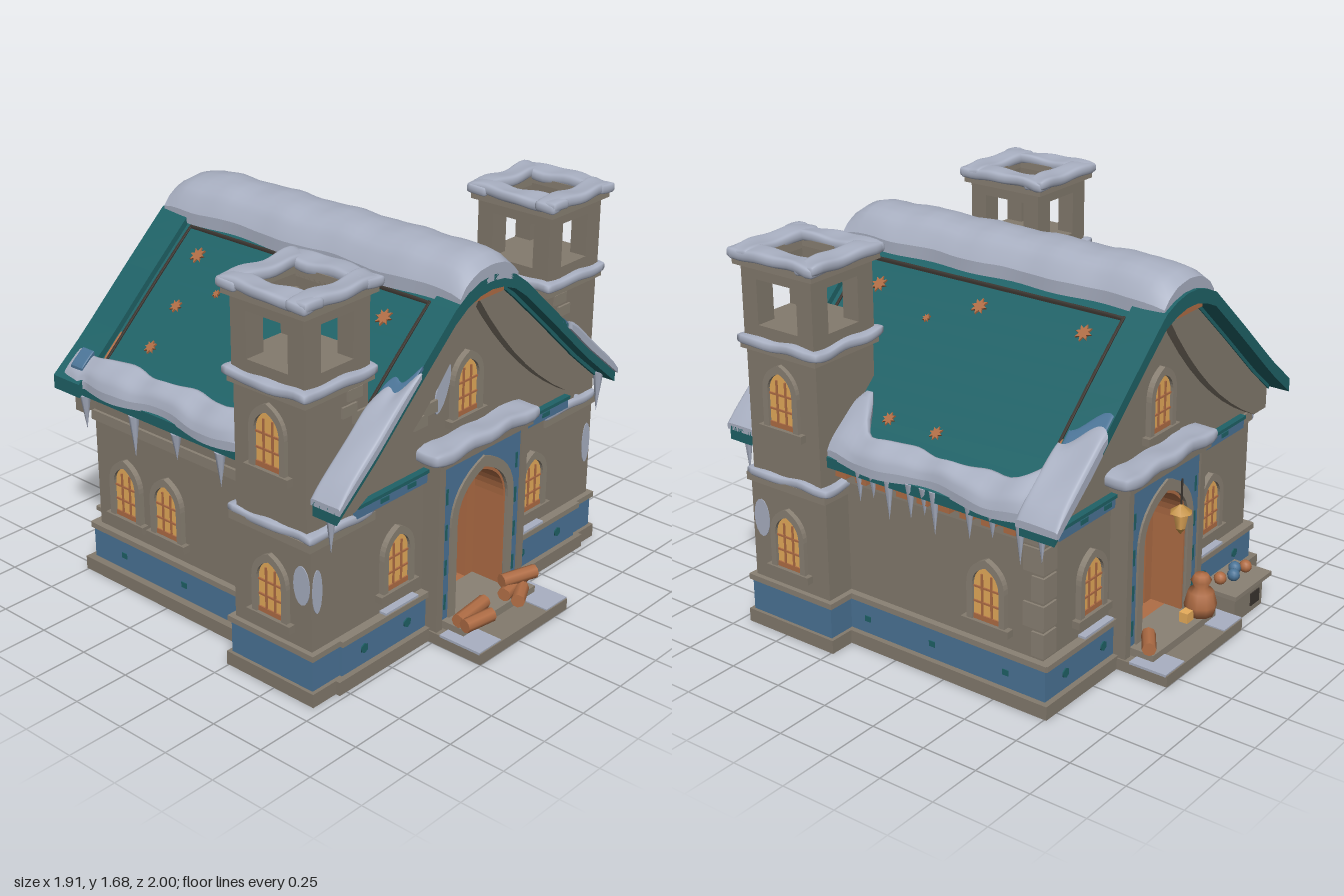
import * as THREE from 'three';
import { mergeVertices } from 'three/addons/utils/BufferGeometryUtils.js';

const mat = (name, color) => Object.assign(new THREE.MeshStandardMaterial({ color }), { name });
const M = {
  stone: mat('stone', 0x837a6d), trim: mat('pale stone', 0x8a8174), snow: mat('snow', 0xa9b0c2),
  teal: mat('teal roof', 0x1f6267), blue: mat('blue paint', 0x4b7497), wood: mat('orange wood', 0xb06d45),
  glow: mat('window glow', 0xeaae5c), ink: mat('dark lines', 0x3a342f), gold: mat('lantern gold', 0xc79549),
};

function add(parent, name, geo, material, x = 0, y = 0, z = 0) {
  const m = new THREE.Mesh(geo, material);
  m.name = name;
  m.position.set(x, y, z);
  parent.add(m);
  return m;
}
// box from its limits
function box(p, name, material, x0, x1, y0, y1, z0, z1) {
  return add(p, name, new THREE.BoxGeometry(x1 - x0, y1 - y0, z1 - z0), material, (x0 + x1) / 2, (y0 + y1) / 2, (z0 + z1) / 2);
}
const extrude = (shape, depth) => new THREE.ExtrudeGeometry(shape, { depth, bevelEnabled: false, curveSegments: 8 });
const smooth = geo => {
  geo.deleteAttribute('normal');
  geo.deleteAttribute('uv');
  const g = mergeVertices(geo);
  g.computeVertexNormals();
  return g;
};

// soft, uneven snow block with rounded edges
function snowSlab(p, name, x0, x1, y0, y1, z0, z1) {
  const w = x1 - x0, h = y1 - y0, d = z1 - z0, r = h * 0.4;
  const g = new THREE.BoxGeometry(w, h, d, 14, 4, 14), a = g.attributes.position;
  const v = new THREE.Vector3(), core = new THREE.Vector3(), lim = new THREE.Vector3(w / 2 - r, h / 2 - r, d / 2 - r);
  for (let i = 0; i < a.count; i++) {
    v.fromBufferAttribute(a, i);
    core.copy(v).clamp(lim.clone().negate(), lim);
    v.sub(core).setLength(r).add(core);
    const k = Math.sin(v.x * 27 + v.z * 15 + x0 * 9) + 0.6 * Math.sin(v.z * 33 - v.x * 12);
    a.setXYZ(i, v.x + 0.005 * Math.sin(v.z * 24 + x0 * 7), v.y + 0.005 * k, v.z + 0.005 * Math.sin(v.x * 22 + 1));
  }
  return add(p, name, smooth(g), M.snow, (x0 + x1) / 2, (y0 + y1) / 2, (z0 + z1) / 2);
}

// pointed arch outline, standing on y0
function arch(w, h, spring, T = THREE.Shape, y0 = 0) {
  const s = new T(), r = w / 2;
  s.moveTo(-r, y0);
  s.lineTo(r, y0);
  s.lineTo(r, spring);
  s.quadraticCurveTo(r, spring + (h - spring) * 0.72, 0, h);
  s.quadraticCurveTo(-r, spring + (h - spring) * 0.72, -r, spring);
  s.lineTo(-r, y0);
  return s;
}
function archRing(wo, ho, wi, hi, spring, y0 = 0) {
  const s = arch(wo, ho, spring, THREE.Shape, y0);
  s.holes.push(arch(wi, hi, spring, THREE.Path, y0 + 0.0001));
  return s;
}

// arched window, back against a wall, facing +z before turning
function windowAt(p, x, y, z, turn = 0) {
  const g = new THREE.Group();
  g.name = 'window';
  add(g, 'windowFrame', extrude(archRing(0.185, 0.275, 0.13, 0.24, 0.15), 0.026), M.trim);
  add(g, 'windowPane', extrude(arch(0.132, 0.242, 0.15), 0.008), M.glow, 0, 0, 0.004);
  box(g, 'windowFoot', M.wood, -0.064, 0.064, 0, 0.024, 0.01, 0.018);
  for (const dx of [-0.023, 0.023]) box(g, 'mullion', M.wood, dx - 0.004, dx + 0.004, 0, 0.205, 0.01, 0.018);
  for (const dy of [0.08, 0.145]) box(g, 'glazingBar', M.wood, -0.063, 0.063, dy - 0.004, dy + 0.004, 0.01, 0.018);
  box(g, 'windowSill', M.stone, -0.115, 0.115, -0.03, 0.002, 0, 0.035);
  g.position.set(x, y, z);
  g.rotation.y = turn;
  p.add(g);
}

// height of the roof rim over x
const PROFILE = [[0, 1.54], [0.08, 1.53], [0.18, 1.49], [0.42, 1.275], [0.67, 1.045], [0.92, 0.84]];
function roofY(x) {
  const a = Math.min(Math.abs(x), 0.95);
  let i = 1;
  while (i < PROFILE.length - 1 && a > PROFILE[i][0]) i++;
  const [x0, y0] = PROFILE[i - 1], [x1, y1] = PROFILE[i];
  return y0 + (y1 - y0) * (a - x0) / (x1 - x0);
}
// roof slab from x0 to x1: top at rim height + off, thickness t
function roofSlab(x0, x1, off, t, depth) {
  const s = new THREE.Shape(), n = 24, xs = [];
  for (let i = 0; i <= n; i++) xs.push(x0 + (x1 - x0) * i / n);
  xs.forEach((x, i) => (i ? s.lineTo(x, roofY(x) + off) : s.moveTo(x, roofY(x) + off)));
  xs.reverse().forEach(x => s.lineTo(x, roofY(x) + off - t));
  return extrude(s, depth);
}
// sheet lying on the roof between two x limits that may vary with z
function sheet(p, name, material, xa, xb, z0, z1, thick, off, wave) {
  const g = new THREE.BoxGeometry(1, 1, 1, 12, 1, 36), a = g.attributes.position;
  for (let i = 0; i < a.count; i++) {
    const u = a.getX(i) + 0.5, w = a.getZ(i) + 0.5, top = a.getY(i) > 0;
    const z = z0 + (z1 - z0) * w, x = xa(z) + (xb(z) - xa(z)) * u;
    const round = Math.sqrt(1 - Math.pow(Math.abs(2 * u - 1), 4) * 0.85) * Math.sqrt(1 - Math.pow(Math.abs(2 * w - 1), 14) * 0.7);
    const bump = 1 + wave * (Math.sin(z * 19 + x * 9) + 0.6 * Math.sin(z * 37 - x * 16));
    a.setXYZ(i, x, roofY(x) + off + (top ? thick * round * bump : -0.015), z);
  }
  g.computeVertexNormals();
  return add(p, name, g, material);
}

// gable end with doorway, built facing +z
function endWall(root, s) {
  const g = new THREE.Group(), door = new THREE.Group();
  g.name = s > 0 ? 'frontEnd' : 'backEnd';
  g.position.set(0.02, 0, s > 0 ? 0 : -0.03);
  g.rotation.y = s > 0 ? 0 : Math.PI;
  root.add(g);
  door.name = 'doorway';
  door.position.x = 0.022 * s;
  g.add(door);
  const wall = new THREE.Shape();
  wall.moveTo(-0.75, 0.03);
  wall.lineTo(0.75, 0.03);
  for (let i = 0; i <= 20; i++) { const x = 0.75 - i * 0.075; wall.lineTo(x, roofY(x) - 0.07); }
  wall.holes.push(arch(0.39, 0.72, 0.5, THREE.Path, 0.08));
  add(g, 'gableWall', extrude(wall, 0.08), M.stone, 0, 0, 0.6);
  // curved stone verge under the roof edge
  const verge = new THREE.Shape();
  verge.moveTo(-0.82, 0.77);
  for (let i = 0; i <= 20; i++) { const x = -0.82 + i * 0.082; verge.lineTo(x, roofY(x) - 0.05); }
  verge.lineTo(0.82, 0.77);
  verge.lineTo(0.72, 0.77);
  verge.quadraticCurveTo(0.3, 0.98, 0, 1.42);
  verge.quadraticCurveTo(-0.3, 0.98, -0.72, 0.77);
  add(g, 'gableVerge', extrude(verge, 0.05), M.stone, 0, 0, 0.675);
  windowAt(g, -0.02 * s, 0.93, 0.68);
  for (const m of [-1, 1]) {
    windowAt(g, m * 0.44 + 0.008 * s, 0.315, 0.68);
    const span = (name, material, a, b, y0, y1, z1) => box(g, name, material, Math.min(m * a, m * b), Math.max(m * a, m * b), y0, y1, 0.64, z1);
    span('blueSkirt', M.blue, 0.24, 0.77, 0.05, 0.205, 0.705);
    span('skirtLedge', M.trim, 0.24, 0.78, 0.2, 0.225, 0.72);
    span('skirtSnow', M.snow, 0.32, 0.52, 0.222, 0.235, 0.715);
    span('friezeBand', M.blue, 0.24, 0.68, 0.715, 0.765, 0.7);
    span('friezeCap', M.teal, 0.24, 0.68, 0.76, 0.775, 0.71);
    for (const dx of [0.38, 0.64]) add(g, 'skirtDiamond', new THREE.CylinderGeometry(0.022, 0.022, 0.008, 6), M.teal, m * dx, 0.13, 0.706).rotation.x = Math.PI / 2;
    for (const dx of [0.36, 0.52]) box(g, 'friezeDash', M.teal, m * dx - 0.025, m * dx + 0.025, 0.73, 0.75, 0.698, 0.704);
  }
  // portal
  const portal = new THREE.Shape([[-0.28, 0.05], [0.28, 0.05], [0.28, 0.8], [-0.28, 0.8]].map(c => new THREE.Vector2(...c)));
  portal.holes.push(arch(0.33, 0.7, 0.5, THREE.Path, 0.08));
  add(door, 'portal', extrude(portal, 0.08), [M.blue, M.stone], 0, 0, 0.675);
  add(door, 'doorHood', extrude(archRing(0.41, 0.75, 0.33, 0.7, 0.5, 0.08), 0.015), M.trim, 0, 0, 0.75);
  add(door, 'doorReveal', extrude(archRing(0.335, 0.705, 0.31, 0.685, 0.5, 0.08), 0.16), M.wood, 0, 0, 0.59);
  add(door, 'doorLining', extrude(archRing(0.34, 0.71, 0.21, 0.63, 0.48, 0.08), 0.6), M.wood);
  for (const m of [-1, 1]) {
    box(door, 'portalEdge', M.stone, m * 0.267 - 0.018, m * 0.267 + 0.018, 0.05, 0.8, 0.67, 0.765);
    for (let i = 0; i < 4; i++) box(door, 'portalDash', M.teal, m * 0.226 - 0.006, m * 0.226 + 0.006, 0.13 + i * 0.16, 0.2 + i * 0.16, 0.752, 0.758);
    box(door, 'stepSnow', M.snow, m * 0.225 - 0.07, m * 0.225 + 0.07, 0.045, 0.056, 0.79, s > 0 ? 0.995 : 0.965);
  }
  box(door, 'lintel', M.stone, -0.3, 0.3, 0.79, 0.82, 0.66, 0.78);
  snowSlab(door, 'lintelSnow', -0.335, 0.335, 0.81, 0.87, 0.64, 0.795);
  // steps
  box(door, 'lowerStep', M.stone, -0.293, 0.293, 0, 0.05, 0.6, s > 0 ? 1 : 0.97);
  box(door, 'upperStep', M.trim, -0.24, 0.24, 0.04, 0.085, 0.6, 0.87);
}

function tower(root, cx) {
  const g = new THREE.Group(), out = Math.sign(cx);
  g.name = 'tower';
  g.position.set(cx, 0, 0.475);
  root.add(g);
  const tier = (name, material, hx, y0, y1, hz) => box(g, name, material, -hx, hx, y0, y1, -hz, hz);
  tier('towerFoot', M.stone, 0.195, 0, 0.06, 0.235);
  tier('towerSkirt', M.blue, 0.18, 0.05, 0.205, 0.218);
  tier('towerSkirtLedge', M.trim, 0.19, 0.2, 0.225, 0.23);
  tier('towerLower', M.stone, 0.168, 0.2, 0.7, 0.205);
  tier('towerLedge', M.trim, 0.185, 0.665, 0.7, 0.215);
  snowSlab(g, 'towerLedgeSnow', -0.19, 0.19, 0.69, 0.73, -0.222, 0.222);
  tier('towerUpper', M.stone, 0.17, 0.7, 1.28, 0.185);
  tier('belfryLedge', M.trim, 0.19, 1.25, 1.285, 0.2);
  snowSlab(g, 'belfryLedgeSnow', -0.212, 0.207, 1.27, 1.315, -0.217, 0.217);
  tier('belfryFloor', M.stone, 0.178, 1.29, 1.36, 0.185);
  for (const a of [-1, 1]) for (const b of [-1, 1]) box(g, 'belfryPost', M.stone, a * 0.133 - 0.045, a * 0.133 + 0.045, 1.35, 1.56, b * 0.145 - 0.04, b * 0.145 + 0.04);
  // open square rings on top, stone below and snow above
  const ring = (name, material, o, oz, y, h) => {
    const s = new THREE.Shape([[-o, -oz], [o, -oz], [o, oz], [-o, oz]].map(c => new THREE.Vector2(...c)));
    s.holes.push(new THREE.Path([[-0.11, -0.125], [-0.11, 0.125], [0.11, 0.125], [0.11, -0.125]].map(c => new THREE.Vector2(...c))));
    add(g, name, extrude(s, h), material, 0, y, 0).rotation.x = -Math.PI / 2;
  };
  ring('belfryBeam', M.stone, 0.178, 0.185, 1.55, 0.06);
  ring('belfryCap', M.trim, 0.2, 0.21, 1.6, 0.04);
  for (const m of [-1, 1]) {
    snowSlab(g, 'belfrySnow', m * 0.162 - 0.054, m * 0.162 + 0.054, 1.625, 1.672, -0.228, 0.228);
    snowSlab(g, 'belfrySnow', -0.215, 0.215, 1.625, 1.672, m * 0.175 - 0.054, m * 0.175 + 0.054);
  }
  windowAt(g, out * 0.164, 0.31, 0, out * Math.PI / 2);
  windowAt(g, out * 0.164, 0.94, 0, out * Math.PI / 2);
  // scattered bricks and wall frost
  for (const [x, y] of [[0.09, 1.2], [0.06, 1.14], [0.12, 1.1]]) box(g, 'brick', M.trim, -out * x - 0.04, -out * x + 0.04, y, y + 0.045, 0.15, 0.195);
  const disc = new THREE.CylinderGeometry(0.05, 0.05, 0.008, 16);
  const frost = add(g, 'frostFront', disc, M.snow, out * 0.138, 0.48, 0.204);
  frost.rotation.x = Math.PI / 2;
  frost.scale.set(0.55, 1, 1.9);
  const frostSide = add(g, 'frostSide', disc, M.snow, out * 0.167, 0.5, 0.155);
  frostSide.rotation.z = Math.PI / 2;
  frostSide.scale.set(1.7, 1, 0.85);
}

export function createModel() {
  const root = new THREE.Group();
  root.name = 'snowyHall';
  box(root, 'foundation', M.stone, -0.79, 0.82, 0, 0.06, -0.76, 0.73);
  box(root, 'floor', M.wood, -0.72, 0.74, 0.05, 0.085, -0.7, 0.66);
  endWall(root, 1);
  endWall(root, -1);
  tower(root, -0.725);
  tower(root, 0.74);

  // long side walls with skirt, eaves beam, icicles and eave snow
  for (const s of [-1, 1]) {
    const side = (name, material, a, b, y0, y1, z0, z1) => box(root, name, material, 0.02 + Math.min(s * a, s * b), 0.02 + Math.max(s * a, s * b), y0, y1, z0, z1);
    side('sideWall', M.stone, 0.67, 0.755, 0.05, 0.88, -0.71, 0.66);
    side('sideSkirt', M.blue, 0.7, 0.775, 0.05, 0.205, -0.735, 0.3);
    side('sideLedge', M.trim, 0.7, 0.785, 0.2, 0.225, -0.745, 0.3);
    side('eavesBeam', M.trim, 0.7, 0.768, 0.72, 0.765, -0.72, 0.3);
    for (const z of s > 0 ? [-0.45] : [-0.52, -0.27]) windowAt(root, 0.02 + s * 0.755, 0.315, z, s * Math.PI / 2);
    for (const z of [-0.56, -0.19, 0.15]) side('skirtDiamond', M.teal, 0.77, 0.779, 0.115, 0.14, z, z + 0.03);
    (s > 0 ? [0.74, 0.13, 0.06, -0.02, -0.13, -0.2, -0.25, -0.42, -0.53, -0.66, -0.76] : [0.74, 0.1, -0.15, -0.4, -0.7]).forEach((z, i) => {
      const h = 0.12 + 0.035 * ((i * 2 + 2) % 3);
      add(root, 'icicle', new THREE.ConeGeometry(0.024, h, 7), M.snow, s > 0 ? 0.855 : z > 0.6 ? -0.85 : -0.79, 0.85 - h / 2, z).rotation.x = Math.PI;
    });

    // eave snow swells beside the tower and at one rear corner
    const inner = z => (s > 0 ? 0.785 : 0.715) - 0.14 * Math.exp(-(((z - 0.25) / 0.08) ** 2))
      - (s > 0 ? 0.2 * Math.exp(-(((z + 0.8) / 0.13) ** 2)) : 0) + 0.012 * Math.sin(z * 17);
    const outer = z => (s > 0 ? 0.875 : 0.815) + 0.012 * Math.sin(z * 11 + 1) + (z < -0.7 ? 0.02 : 0);
    const strip = (name, material, fi, fo, z0, z1, t, off, wave) =>
      sheet(root, name, material, s > 0 ? fi : z => -fo(z), s > 0 ? fo : z => -fi(z), z0, z1, t, off, wave);
    strip('eaveSnow', M.snow, inner, outer, s > 0 ? -0.855 : -0.8, 0.3, 0.055, -0.02, 0.12);
    // front corner snow with a thin frosted fringe
    const fringe = z => 0.5 + 0.7 * (z - 0.74) * s + 0.02 * Math.sin(z * 60);
    strip('frontCornerSnow', M.snow, fringe, () => (s > 0 ? 0.895 : 0.885), 0.67, 0.815, 0.035, 0.003, 0.1);
    strip('frontFringe', M.blue, z => fringe(z) - 0.04, z => fringe(z) + 0.02, 0.685, 0.8, 0.007, 0.005, 0);
    // dark seams framing the roof field, with bare wood at the corners
    for (const z of [-0.66, 0.65]) {
      strip('roofSeam', M.ink, () => 0.19, () => 0.72, z - 0.006, z + 0.006, 0.008, -0.028, 0);
      strip('bareWood', M.wood, () => 0.6, () => 0.7, z - 0.014, z - 0.004, 0.009, -0.027, 0);
    }
    strip('roofSeam', M.ink, () => 0.192, () => 0.2, -0.66, 0.65, 0.008, -0.028, 0);
  }
  // exposed rafters on one eave, corner stones
  box(root, 'eavesBoard', M.wood, 0.72, 0.81, 0.765, 0.815, -0.68, 0.28);
  for (let i = 0; i < 9; i++) box(root, 'rafter', M.wood, 0.76, 0.86, 0.775, 0.83, 0.2 - i * 0.105, 0.255 - i * 0.105);
  for (let i = 0; i < 4; i++) box(root, 'quoin', M.trim, 0.7, 0.785, 0.24 + i * 0.12, 0.345 + i * 0.12, -0.72, i % 2 ? -0.62 : -0.66);

  // roof with raised rims and ridge snow
  add(root, 'roof', roofSlab(-0.81, 0.87, -0.03, 0.045, 1.5), M.teal, 0, 0, -0.76);
  add(root, 'frontRim', roofSlab(-0.885, 0.895, 0.005, 0.06, 0.12), M.teal, 0, 0, 0.68);
  add(root, 'backRim', roofSlab(-0.835, 0.895, 0.005, 0.06, 0.16), M.teal, 0, 0, -0.845);
  sheet(root, 'ridgeSnow', M.snow, z => -0.19 + 0.005 * Math.sin(z * 12), z => 0.17 + 0.005 * Math.sin(z * 15), -0.83, 0.8, 0.1, -0.005, 0.035);
  const rearEdge = z => 0.6 + 0.04 * Math.sin(z * 25);
  sheet(root, 'backRimSnow', M.snow, rearEdge, () => 0.9, -0.86, -0.67, 0.04, 0, 0.08);
  sheet(root, 'backFringe', M.blue, z => rearEdge(z) - 0.05, z => rearEdge(z) + 0.02, -0.84, -0.69, 0.007, 0.005, 0);
  sheet(root, 'backFringe', M.blue, () => -0.8, () => -0.73, -0.77, -0.7, 0.009, 0.03, 0);
  for (const z of [-0.84, 0.74]) box(root, 'ridgeBeam', M.wood, -0.09, 0.09, 1.455, 1.48, z, z + 0.05);

  // star-shaped worn spots
  const star = new THREE.Shape();
  for (let i = 0; i < 16; i++) {
    const r = i % 2 ? 0.02 : 0.038, t = i * Math.PI / 8;
    star[i ? 'lineTo' : 'moveTo'](r * Math.cos(t), r * Math.sin(t));
  }
  const spots = [[0.27, -0.53, 1], [0.27, -0.02, 1], [0.28, 0.5, 1], [0.69, -0.13, 0.8], [0.69, 0.11, 0.8], [0.35, 0.19, 0.5],
    [-0.61, -0.48, 0.8], [-0.46, -0.48, 0.8], [-0.28, -0.53, 1], [-0.38, -0.32, 0.5], [-0.28, -0.21, 1], [-0.45, -0.03, 0.8],
    [-0.36, 0.05, 0.5], [-0.61, 0.09, 0.8], [-0.27, 0.18, 1], [-0.28, 0.5, 1]];
  for (const [x, z, k] of spots) {
    const m = add(root, 'roofStar', extrude(star, 0.009), M.wood, x, roofY(x) - 0.03, z);
    m.scale.set(k, k, 1);
    m.quaternion.setFromUnitVectors(new THREE.Vector3(0, 0, 1), new THREE.Vector3(Math.sign(x) * 0.67, 0.74, 0).normalize());
  }

  // gable bricks and frost
  [[-0.27, 1.05], [-0.22, 1.0], [-0.28, 0.96]].forEach(([x, y]) => box(root, 'gableBrick', M.trim, x - 0.04, x + 0.04, y, y + 0.05, 0.66, 0.695));
  const frost = add(root, 'gableFrost', new THREE.CylinderGeometry(0.035, 0.035, 0.008, 14), M.snow, -0.14, 1.08, 0.682);
  frost.rotation.set(Math.PI / 2, -0.35, 0);
  frost.scale.z = 3;

  // firewood on both stoops
  for (const [x, y, z, t, l] of [[-0.1, 0.115, 0.83, 0.1, 0.2], [-0.13, 0.11, 0.89, -0.15, 0.15], [0.19, 0.115, 0.83, 0.2, 0.2],
    [0.2, 0.155, 0.84, -0.3, 0.17], [0.15, 0.11, 0.89, 0.5, 0.12], [0.24, 0.115, -0.85, 0.6, 0.13]]) {
    add(root, 'log', new THREE.CylinderGeometry(0.03, 0.03, l, 8), M.wood, x, y, z).rotation.set(0, t, Math.PI / 2);
  }
  // sack, crate with pots, hanging lantern behind the house
  add(root, 'sack', new THREE.LatheGeometry([[0, 0], [0.06, 0.005], [0.07, 0.05], [0.055, 0.11], [0.03, 0.13], [0.045, 0.16], [0.03, 0.185], [0, 0.19]].map(c => new THREE.Vector2(...c)), 10), M.wood, -0.13, 0.085, -0.865);
  box(root, 'sackStrap', M.glow, -0.07, -0.02, 0.085, 0.13, -0.87, -0.83);
  box(root, 'crate', M.stone, -0.5, -0.27, 0, 0.12, -0.95, -0.79);
  box(root, 'crateLid', M.trim, -0.55, -0.25, 0.12, 0.14, -0.965, -0.78);
  box(root, 'crateOpening', M.ink, -0.47, -0.4, 0.03, 0.09, -0.955, -0.948);
  [[-0.44, M.blue], [-0.38, M.blue], [-0.32, M.wood], [-0.48, M.wood]].forEach(([x, m], i) =>
    add(root, 'pot', new THREE.SphereGeometry(0.028, 10, 8), m, x, 0.165, -0.845 - 0.03 * (i % 2)));
  const lantern = new THREE.Group();
  lantern.name = 'lantern';
  lantern.position.set(-0.03, 0, -0.815);
  root.add(lantern);
  add(lantern, 'lanternGlass', new THREE.CylinderGeometry(0.036, 0.022, 0.07, 6), M.glow, 0, 0.545, 0);
  add(lantern, 'lanternTop', new THREE.ConeGeometry(0.05, 0.04, 6), M.gold, 0, 0.6, 0);
  add(lantern, 'lanternFoot', new THREE.ConeGeometry(0.022, 0.03, 6), M.gold, 0, 0.495, 0).rotation.x = Math.PI;
  add(lantern, 'lanternRod', new THREE.CylinderGeometry(0.005, 0.005, 0.12, 6), M.ink, 0, 0.67, 0);
  return root;
}
